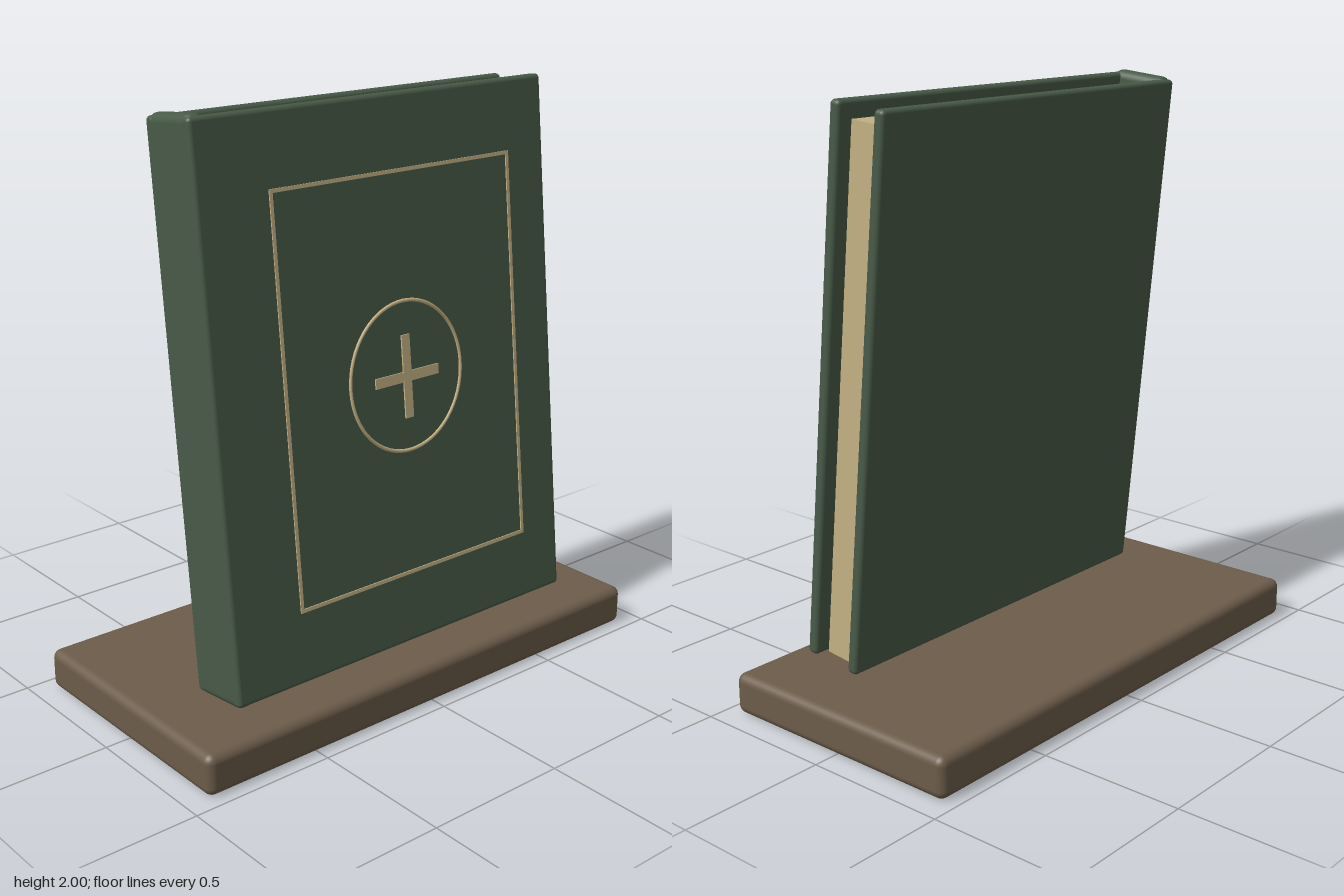
import * as THREE from 'three';
import { RoundedBoxGeometry } from 'three/addons/geometries/RoundedBoxGeometry.js';

const material = (name, color) => {
  const m = new THREE.MeshStandardMaterial({ color });
  m.name = name;
  return m;
};

export function createModel() {
  const green = material('cover green', 0x485a47);
  const brown = material('base brown', 0x6c5c4a);
  const cream = material('paper and trim cream', 0xc4b184);

  const model = new THREE.Group();
  model.name = 'bookOnBase';

  const add = (parent, name, geometry, mat, x, y, z) => {
    const mesh = new THREE.Mesh(geometry, mat);
    mesh.name = name;
    mesh.position.set(x, y, z);
    parent.add(mesh);
    return mesh;
  };
  const rounded = (w, h, d, r) => new RoundedBoxGeometry(w, h, d, 4, r);
  const box = (w, h, d) => new THREE.BoxGeometry(w, h, d);

  // Base slab
  add(model, 'base', rounded(1.85, 0.14, 0.92, 0.03), brown, 0, 0.07, 0);

  // Book, leaning back
  const book = new THREE.Group();
  book.name = 'book';
  book.position.set(0, 1.073, 0.135);
  book.rotation.x = -0.101;
  model.add(book);

  // Covers, spine and page block
  for (const [name, side] of [['frontCover', 1], ['backCover', -1]]) {
    add(book, name, rounded(1.435, 1.822, 0.042, 0.015), green, -0.0025, 0, side * 0.092);
  }
  add(book, 'spine', rounded(0.07, 1.84, 0.22, 0.03), green, -0.685, 0, 0);
  add(book, 'pages', box(1.33, 1.757, 0.11), cream, 0.01, -0.022, 0);

  // Raised trim on the front cover
  const trim = new THREE.Group();
  trim.name = 'frontTrim';
  trim.position.set(0.044, 0, 0.113);
  book.add(trim);

  for (const s of [-1, 1]) {
    add(trim, 'frameRail', box(1.0, 0.012, 0.008), cream, 0, s * 0.666, 0);
    add(trim, 'framePost', box(0.012, 1.344, 0.008), cream, s * 0.494, 0, 0);
  }

  // Slightly tall ring around a cross
  const ring = add(trim, 'ring', new THREE.TorusGeometry(0.238, 0.006, 8, 64), cream, 0, 0, 0);
  ring.scale.y = 1.045;
  add(trim, 'crossUpright', box(0.034, 0.277, 0.009), cream, 0, -0.001, 0.001);
  add(trim, 'crossBar', box(0.272, 0.034, 0.008), cream, 0, -0.001, 0.001);

  return model;
}
